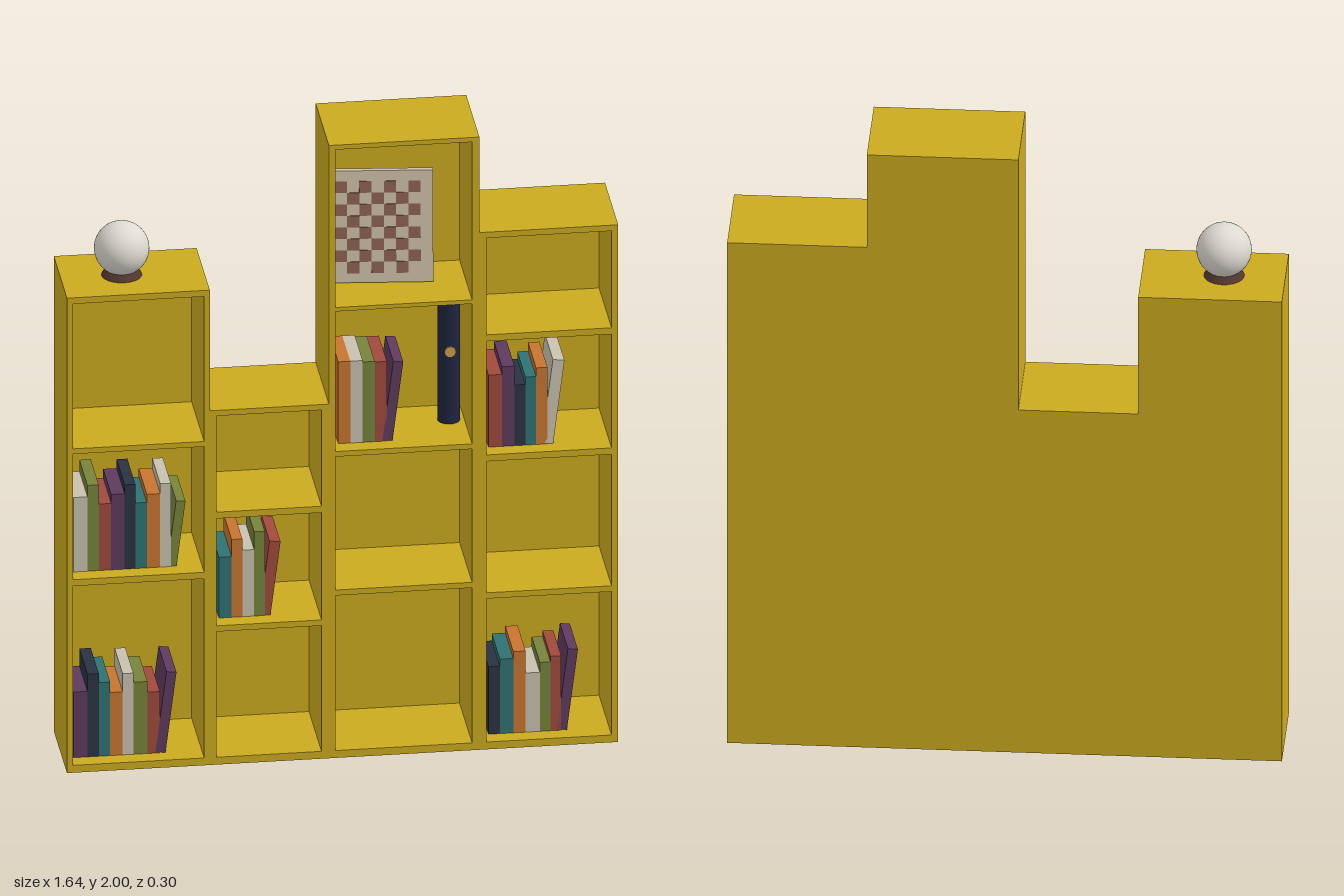
import * as THREE from 'three';

const mat = (color) => new THREE.MeshStandardMaterial({ color });
const wood = mat(0xcbaa1e), cream = mat(0xcfc0a8), brown = mat(0x8a6250), darkBrown = mat(0x54372f);
const navy = mat(0x1e2540), gold = mat(0xc9a04a), pearl = mat(0xdedad2);
const covers = {
  purple: mat(0x5e3a5e), navy: mat(0x2a3342), teal: mat(0x2e7272), orange: mat(0xc8742e),
  cream: mat(0xc8c0ae), olive: mat(0x76833a), red: mat(0xa04a3c),
};
const HALF_DEPTH = 0.148, BACK = 0.016;

function add(parent, name, geometry, material, x = 0, y = 0, z = 0) {
  const mesh = new THREE.Mesh(geometry, material);
  mesh.name = name;
  mesh.position.set(x, y, z);
  parent.add(mesh);
  return mesh;
}

function rect(path, x0, y0, x1, y1) {
  return path.moveTo(x0, y0).lineTo(x1, y0).lineTo(x1, y1).lineTo(x0, y1).closePath();
}

// One bookcase column: a frame with openings, closed by a back panel
function column({ outer, inner, height, openings }) {
  const group = new THREE.Group();
  group.name = 'shelfColumn';
  const shape = rect(new THREE.Shape(), outer[0], 0, outer[1], height);
  for (const [y0, y1] of openings) shape.holes.push(rect(new THREE.Path(), inner[0], y0, inner[1], y1));
  const depth = 2 * HALF_DEPTH - BACK;
  add(group, 'frame', new THREE.ExtrudeGeometry(shape, { depth, bevelEnabled: false }), wood, 0, 0, BACK - HALF_DEPTH);
  add(group, 'backPanel', new THREE.BoxGeometry(outer[1] - outer[0], height, BACK), wood,
    (outer[0] + outer[1]) / 2, height / 2, (BACK / 2) - HALF_DEPTH);
  return group;
}

// A row of upright books; the last one leans against its neighbour
function bookRow(x, y, books) {
  const group = new THREE.Group();
  group.name = 'bookRow';
  const depth = 0.18;
  books.forEach(([color, width, height], i) => {
    const geometry = new THREE.BoxGeometry(width, height, depth);
    if (i < books.length - 1) {
      add(group, 'book', geometry, covers[color], x + width / 2, y + height / 2, 0.005);
      x += width;
    } else {
      geometry.translate(-width / 2, height / 2, 0);
      add(group, 'leaningBook', geometry, covers[color], x + 0.017, y, 0.005).rotation.z = -0.125;
    }
  });
  return group;
}

// Chequered game board, leaning back and turned a little
function gameBoard() {
  const group = new THREE.Group();
  group.name = 'gameBoard';
  const w = 0.292, h = 0.353, cell = 0.0363, cols = 7, rows = 8;
  add(group, 'boardPanel', new THREE.BoxGeometry(w, h, 0.02), cream, 0.007, h / 2, 0);
  add(group, 'boardEdge', new THREE.BoxGeometry(0.016, h, 0.026), darkBrown, -w / 2, h / 2, 0);
  const square = new THREE.BoxGeometry(cell, cell, 0.004);
  for (let r = 0; r < rows; r++) {
    for (let c = 0; c < cols; c++) {
      if ((r + c) % 2 === 0) continue;
      add(group, 'darkSquare', square, brown, -w / 2 + 0.008 + (c + 0.5) * cell, 0.03 + (r + 0.5) * cell, 0.01);
    }
  }
  group.rotation.set(-0.08, -0.1, 0, 'YXZ');
  group.position.set(0.137, 1.473, -0.01);
  return group;
}

// Tall tube with a cap and a round medallion
function storageTube() {
  const group = new THREE.Group();
  group.name = 'storageTube';
  add(group, 'tubeBody', new THREE.CylinderGeometry(0.033, 0.033, 0.39, 32), navy, 0, 0.195, 0);
  add(group, 'tubeCap', new THREE.CylinderGeometry(0.037, 0.037, 0.045, 32), navy, 0, 0.411, 0);
  add(group, 'medallion', new THREE.CylinderGeometry(0.017, 0.017, 0.008, 24), gold, 0, 0.236, 0.033).rotation.x = Math.PI / 2;
  group.position.set(0.34, 1.0, -0.03);
  return group;
}

// Globe resting on a flared stand
function globe() {
  const group = new THREE.Group();
  group.name = 'globe';
  add(group, 'globeStand', new THREE.CylinderGeometry(0.046, 0.06, 0.026, 32), darkBrown, 0, 0.013, 0);
  add(group, 'globeBall', new THREE.SphereGeometry(0.082, 40, 28), pearl, 0, 0.087, 0);
  group.position.set(-0.64, 1.55, 0.005);
  return group;
}

export function createModel() {
  const model = new THREE.Group();
  model.name = 'bookcase';

  const columns = [
    { outer: [-0.822, -0.396], inner: [-0.804, -0.413], height: 1.55, openings: [[0.024, 0.609], [0.63, 1.04], [1.057, 1.53]] },
    { outer: [-0.396, -0.041], inner: [-0.376, -0.063], height: 1.156, openings: [[0.024, 0.434], [0.453, 0.803], [0.824, 1.138]] },
    { outer: [-0.041, 0.408], inner: [-0.021, 0.386], height: 2, openings: [[0.024, 0.53], [0.548, 0.983], [1.0, 1.457], [1.47, 1.985]] },
    { outer: [0.408, 0.822], inner: [0.429, 0.802], height: 1.688, openings: [[0.024, 0.492], [0.511, 0.94], [0.961, 1.332], [1.353, 1.669]] },
  ];
  columns.forEach((c) => model.add(column(c)));

  // Each book: colour, width, height
  model.add(
    bookRow(-0.796, 0.024, [['purple', 0.042, 0.214], ['navy', 0.034, 0.27], ['teal', 0.034, 0.24], ['orange', 0.037, 0.206],
      ['cream', 0.032, 0.265], ['olive', 0.042, 0.235], ['red', 0.037, 0.2], ['purple', 0.03, 0.262]]),
    bookRow(-0.796, 0.63, [['cream', 0.042, 0.243], ['olive', 0.034, 0.28], ['red', 0.037, 0.217], ['purple', 0.04, 0.246],
      ['navy', 0.032, 0.275], ['teal', 0.034, 0.214], ['orange', 0.04, 0.24], ['cream', 0.032, 0.272], ['olive', 0.028, 0.212]]),
    bookRow(-0.362, 0.453, [['teal', 0.038, 0.198], ['orange', 0.032, 0.254], ['cream', 0.035, 0.217], ['olive', 0.032, 0.275],
      ['red', 0.033, 0.24]]),
    bookRow(-0.006, 1.0, [['orange', 0.036, 0.267], ['cream', 0.037, 0.267], ['olive', 0.036, 0.262], ['red', 0.036, 0.26],
      ['purple', 0.03, 0.257]]),
    bookRow(0.442, 0.961, [['red', 0.04, 0.235], ['purple', 0.038, 0.26], ['navy', 0.032, 0.198], ['teal', 0.032, 0.222],
      ['orange', 0.034, 0.25], ['cream', 0.035, 0.272]]),
    bookRow(0.442, 0.024, [['navy', 0.034, 0.22], ['teal', 0.04, 0.243], ['orange', 0.037, 0.265], ['cream', 0.042, 0.193],
      ['olive', 0.032, 0.225], ['red', 0.032, 0.243], ['purple', 0.03, 0.263]]),
    gameBoard(), storageTube(), globe(),
  );
  return model;
}
